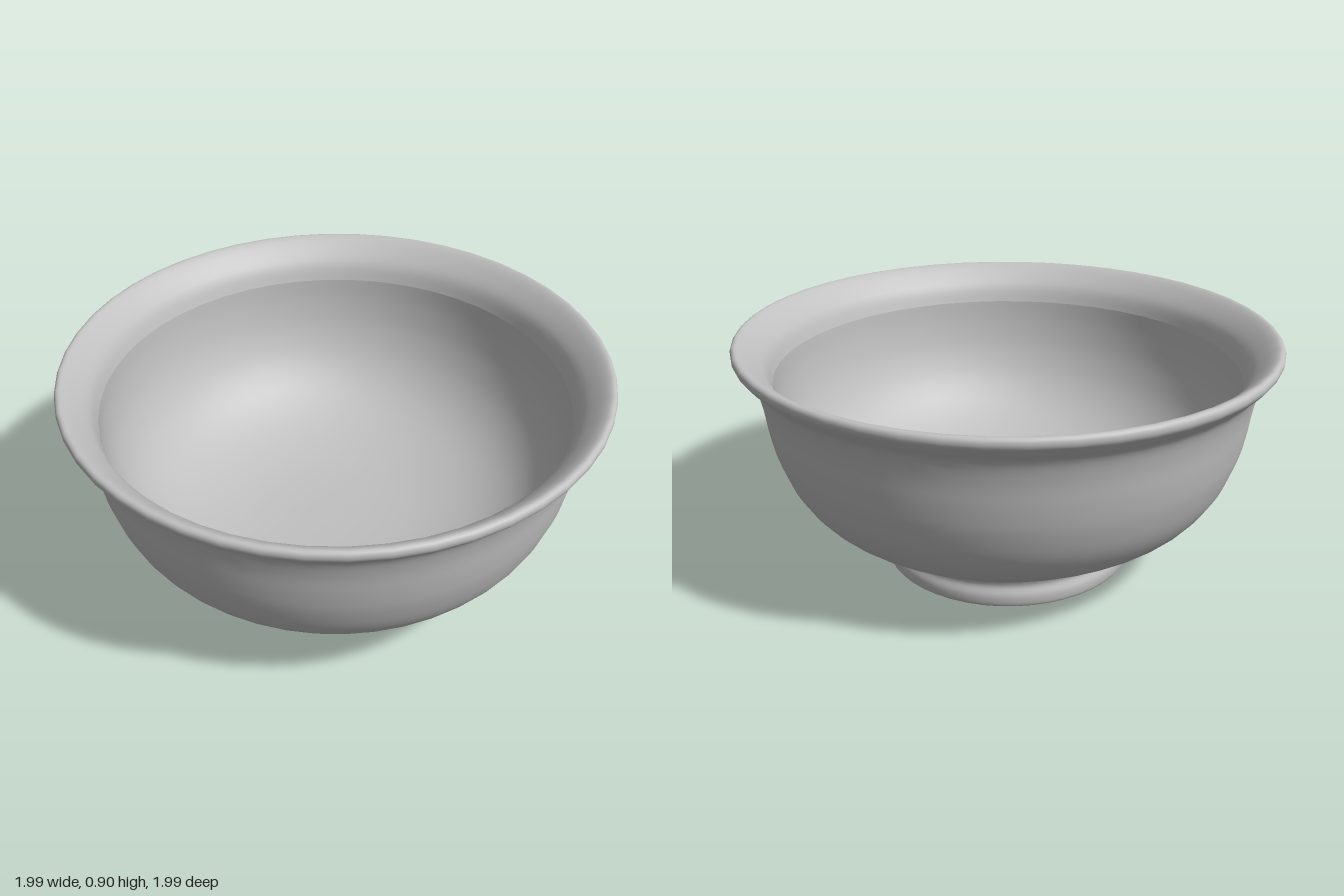
import * as THREE from 'three';

// Turns a smooth profile, listed as [radius, height], into a ring-shaped surface
function turned(name, profile, material, samples) {
  const curve = new THREE.SplineCurve(profile.map(([r, y]) => new THREE.Vector2(r, y)));
  const points = curve.getPoints(samples);
  points.forEach((p) => { p.x = Math.max(p.x, 0); });
  const geometry = new THREE.LatheGeometry(points, 48);

  // The hand-thrown bowl leans slightly, higher towards the left and back
  const pos = geometry.attributes.position;
  for (let i = 0; i < pos.count; i++) {
    const x = pos.getX(i), y = pos.getY(i), z = pos.getZ(i);
    pos.setY(i, y + y * (0.013 * x - 0.015 * z));
  }
  const mesh = new THREE.Mesh(geometry, material);
  mesh.name = name;
  return mesh;
}

export function createModel() {
  const group = new THREE.Group();
  group.name = 'bowl';
  const glaze = new THREE.MeshStandardMaterial({ color: 0xc0c0c0 });
  glaze.name = 'grey glaze';

  // Hollow underside and the foot ring
  group.add(turned('foot', [
    [0, 0.1], [0.2, 0.1], [0.36, 0.09], [0.41, 0.05], [0.435, 0.01],
    [0.455, 0.002], [0.472, 0.012], [0.476, 0.05], [0.465, 0.085], [0.475, 0.115],
  ], glaze, 36));

  // Outer wall, rolled lip and flared mouth
  group.add(turned('outerWallAndLip', [
    [0.475, 0.115], [0.55, 0.16], [0.66, 0.222], [0.75, 0.29], [0.82, 0.385],
    [0.865, 0.5], [0.887, 0.6], [0.902, 0.7], [0.925, 0.78], [0.965, 0.825],
    [0.99, 0.855], [0.99, 0.88], [0.97, 0.887], [0.93, 0.86], [0.88, 0.805], [0.857, 0.74],
  ], glaze, 64));

  // Inner wall and floor
  group.add(turned('interior', [
    [0.857, 0.74], [0.85, 0.64], [0.825, 0.52], [0.77, 0.4],
    [0.68, 0.3], [0.55, 0.225], [0.38, 0.175], [0.2, 0.155], [0, 0.15],
  ], glaze, 36));

  return group;
}
